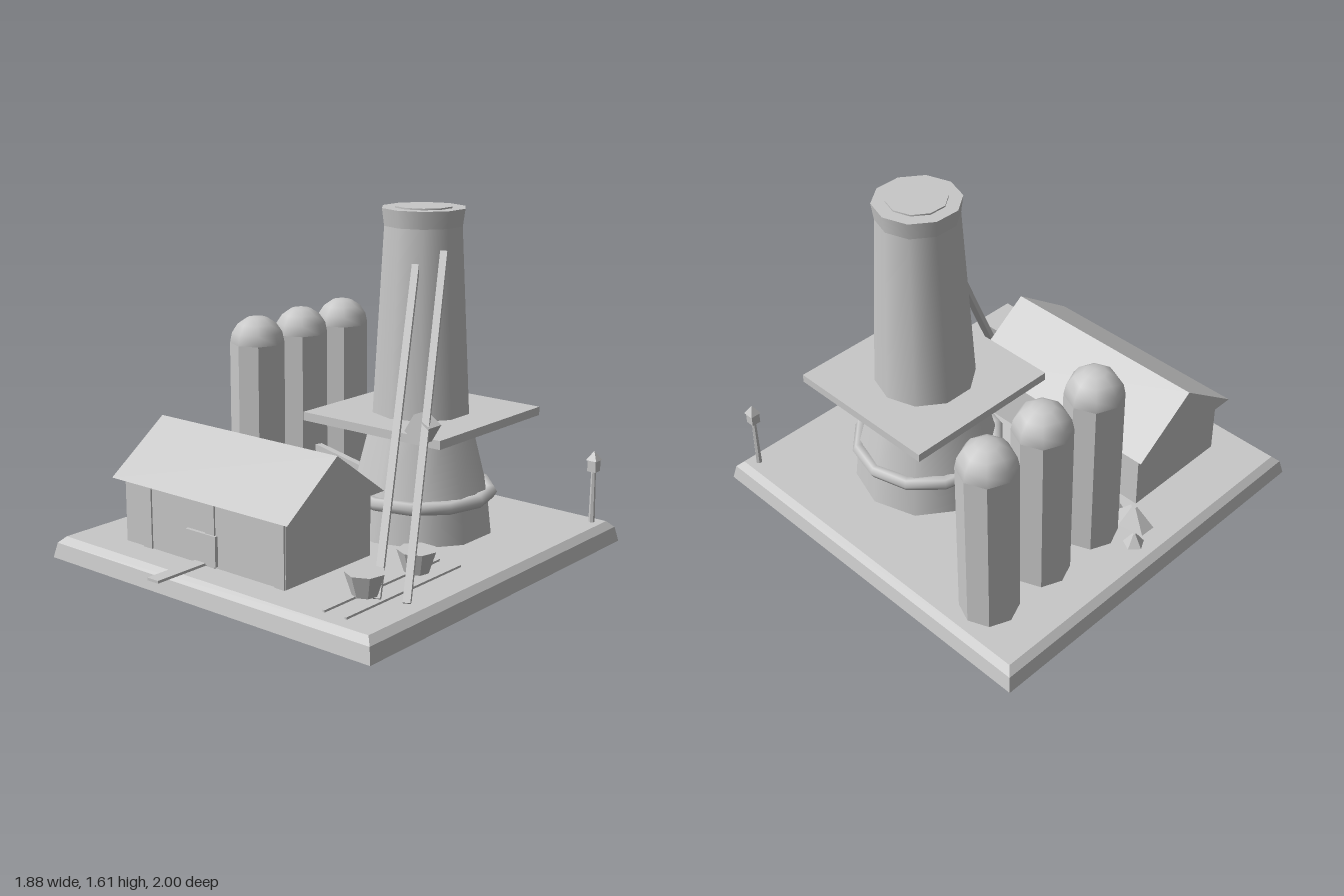
import * as THREE from 'three';

export function createModel() {
  const model = new THREE.Group();
  const grey = new THREE.MeshStandardMaterial({ color: 0xc8c8c8 });
  grey.name = 'plain grey';

  const add = (name, geometry, x = 0, y = 0, z = 0) => {
    const mesh = new THREE.Mesh(geometry, grey);
    mesh.name = name;
    mesh.position.set(x, y, z);
    model.add(mesh);
    return mesh;
  };
  const flat = (geometry) => {
    const g = geometry.index ? geometry.toNonIndexed() : geometry;
    g.computeVertexNormals();
    return g;
  };
  const box = (name, x0, x1, y0, y1, z0, z1) =>
    add(name, new THREE.BoxGeometry(x1 - x0, y1 - y0, z1 - z0), (x0 + x1) / 2, (y0 + y1) / 2, (z0 + z1) / 2);
  // square bar between two points
  const bar = (name, a, b, width) => {
    const from = new THREE.Vector3(...a), to = new THREE.Vector3(...b);
    const mesh = add(name, new THREE.BoxGeometry(width, width, from.distanceTo(to)));
    mesh.position.copy(from).lerp(to, 0.5);
    mesh.lookAt(to);
    return mesh;
  };

  // base slab with bevelled rim
  const slab = new THREE.BoxGeometry(1.88, 0.1, 1.89, 1, 2, 1);
  const p = slab.attributes.position;
  for (let i = 0; i < p.count; i++) {
    const y = p.getY(i);
    const inset = y > 0.04 ? 0.045 : y > -0.04 ? 0.015 : 0;
    p.setX(i, p.getX(i) - Math.sign(p.getX(i)) * inset);
    p.setZ(i, p.getZ(i) - Math.sign(p.getZ(i)) * inset);
    if (Math.abs(y) < 0.01) p.setY(i, 0.02);
  }
  add('base', flat(slab), 0, 0.05, -0.055);

  // furnace tower, ten-sided
  const tx = 0.24, tz = -0.35;
  const tier = (name, rTop, rBottom, y0, y1) =>
    add(name, new THREE.CylinderGeometry(rTop, rBottom, y1 - y0, 10), tx, (y0 + y1) / 2, tz);
  tier('furnaceFoot', 0.33, 0.35, 0.1, 0.27);
  tier('furnaceBody', 0.24, 0.33, 0.27, 0.62);
  tier('chimney', 0.185, 0.233, 0.66, 1.52);
  tier('chimneyCrown', 0.196, 0.185, 1.52, 1.6);
  tier('chimneyCap', 0.135, 0.135, 1.59, 1.607);
  const ring = add('furnaceRing', new THREE.TorusGeometry(0.33, 0.032, 6, 12), tx, 0.28, tz);
  ring.rotation.x = Math.PI / 2;
  box('platform', -0.145, 0.635, 0.62, 0.66, -0.745, 0.04);

  // row of domed silos
  for (const z of [-0.775, -0.455, -0.135]) {
    add('silo', flat(new THREE.CylinderGeometry(0.132, 0.132, 0.8, 8, 1, true)), -0.595, 0.5, z);
    add('siloDome', new THREE.SphereGeometry(0.132, 8, 4, 0, Math.PI * 2, 0, Math.PI / 2), -0.595, 0.9, z);
  }
  bar('siloPipe', [-0.5, 0.33, -0.45], [-0.05, 0.29, -0.36], 0.035);

  // shed with gabled roof
  box('shedWalls', -0.64, 0.335, 0.1, 0.4, 0.14, 0.7);
  const gable = new THREE.Shape([
    new THREE.Vector2(-0.32, 0), new THREE.Vector2(0.32, 0), new THREE.Vector2(0, 0.23)
  ]);
  const roof = add('shedRoof', new THREE.ExtrudeGeometry(gable, { depth: 1.065, bevelEnabled: false }), -0.685, 0.4, 0.42);
  roof.rotation.y = Math.PI / 2;
  for (const x of [-0.495, -0.1, 0.305]) box('shedPost', x - 0.027, x + 0.027, 0.1, 0.4, 0.69, 0.708);
  box('shedDoor', -0.24, -0.06, 0.11, 0.25, 0.69, 0.717);
  box('plank', -0.185, -0.12, 0.105, 0.117, 0.7, 1.0);

  // rails and ore buckets
  for (const x of [0.61, 0.725]) box('rail', x - 0.006, x + 0.006, 0.1, 0.11, 0.0, 0.78);
  for (const z of [0.235, 0.585]) {
    add('oreBucket', flat(new THREE.CylinderGeometry(0.088, 0.055, 0.1, 7)), 0.667, 0.182, z);
  }

  // inclined hoist
  bar('hoistBeam', [0.32, 1.36, -0.19], [0.685, 0.1, 0.53], 0.032);
  bar('hoistBeam', [0.415, 1.42, -0.27], [0.81, 0.1, 0.49], 0.032);
  const skip = add('hoistSkip', new THREE.BoxGeometry(0.095, 0.095, 0.09), 0.582, 0.72, 0.093);
  skip.rotation.z = -0.55;

  // lamp post
  add('lampPost', flat(new THREE.CylinderGeometry(0.011, 0.015, 0.26, 6)), 0.845, 0.23, -0.905);
  box('lantern', 0.823, 0.867, 0.35, 0.405, -0.927, -0.883);
  const lid = add('lanternLid', flat(new THREE.ConeGeometry(0.039, 0.045, 4)), 0.845, 0.427, -0.905);
  lid.rotation.y = Math.PI / 4;

  // rubble heap: x, z, radius, height, stretch in z, turn
  const rocks = [
    [-0.71, 0.04, 0.11, 0.1, 0.6, 0.3],
    [-0.8, -0.06, 0.05, 0.06, 1, 0.8],
    [-0.59, 0.045, 0.06, 0.07, 0.8, 0.2]
  ];
  for (const [x, z, r, h, stretch, turn] of rocks) {
    const cone = new THREE.CylinderGeometry(r * 0.15, r, h, 5);
    cone.rotateY(turn);
    cone.scale(1, 1, stretch);
    add('rubble', flat(cone), x, 0.1 + h / 2, z);
  }

  return model;
}
